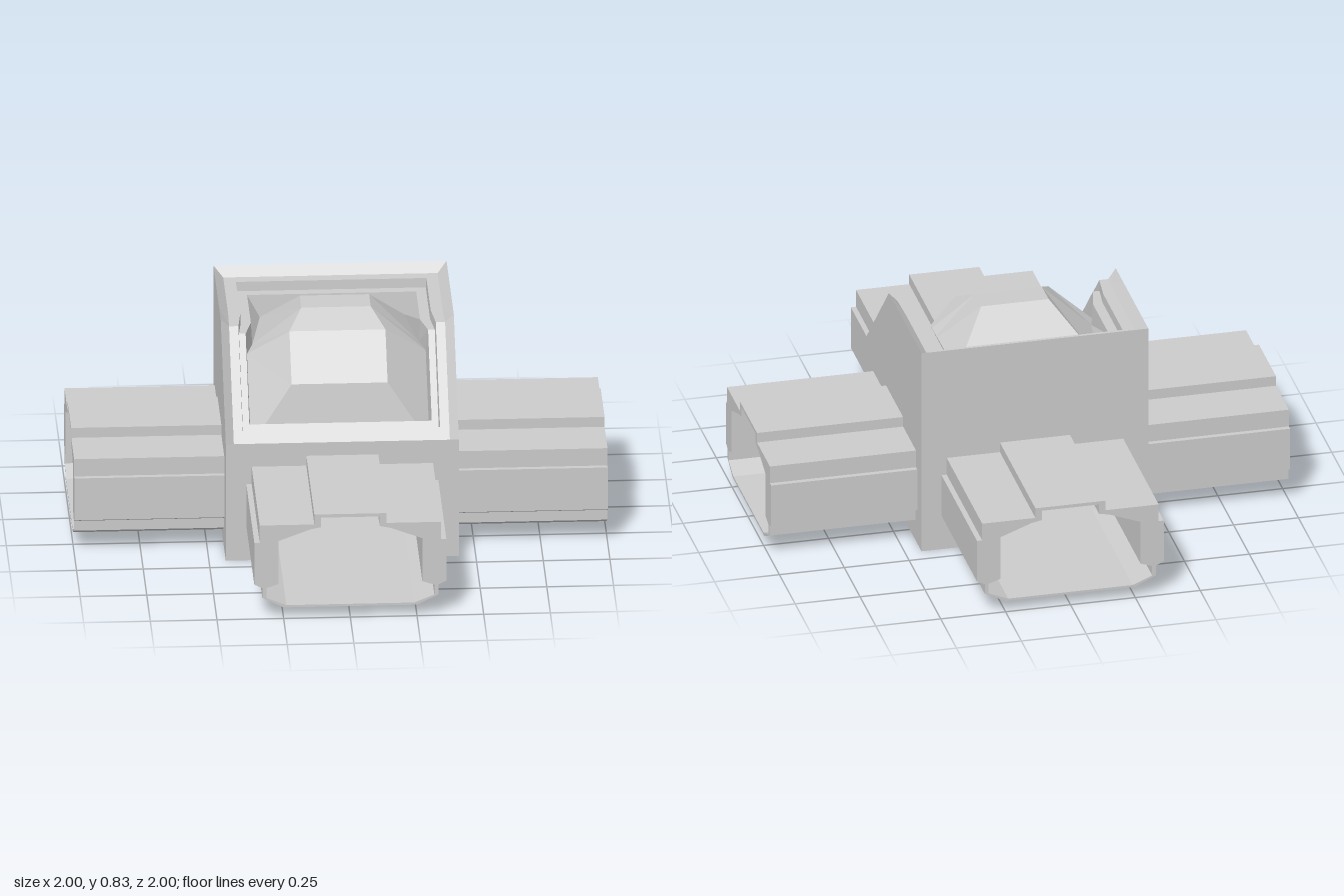
import * as THREE from 'three';

const mat = new THREE.MeshStandardMaterial({ color: 0xcccccc, flatShading: true, side: THREE.DoubleSide });
const HALF = 0.437;

// Half sections of the corridor, from the roof down to the floor
const OUTER = [[0.135, 0.42], [0.135, 0.38], [0.34, 0.38], [0.34, 0.31], [0.36, 0.31],
  [0.36, 0.14], [0.33, 0.125], [0.33, 0.085], [0.25, 0.045]];
const INNER = [[0.11, 0.407], [0.11, 0.368], [0.15, 0.36], [0.27, 0.315], [0.27, 0.14],
  [0.315, 0.125], [0.315, 0.085], [0.24, 0.054]];

// Mirror a half section into a closed outline
function mirrored(half, dx = 0) {
  const other = half.map(([x, y]) => [-x, y]).reverse();
  return [...half, ...other].map(([x, y]) => new THREE.Vector2(x + dx, y));
}

function add(group, name, geometry) {
  const mesh = new THREE.Mesh(geometry, mat);
  mesh.name = name;
  group.add(mesh);
  return mesh;
}

// Flat wall with a corridor opening
function wallGeometry(points, dx) {
  const shape = new THREE.Shape(points.map(([x, y]) => new THREE.Vector2(x, y)));
  shape.holes.push(new THREE.Path(mirrored(OUTER, dx)));
  return new THREE.ShapeGeometry(shape);
}

// Mirror one side of a ring, listed from back to front
function closeRing(half) {
  return [...half.map(([x, y, z]) => [-x, y, z]), ...half.slice().reverse()];
}

// Bent roof outline: insets on the flat part, slope sides and front edge, sunk by h
function roofRing([flat, slope, front, h]) {
  return closeRing([
    [HALF - flat, 0.83 - h, -HALF + flat],
    [HALF - flat, 0.83 - h, -0.05],
    [HALF - slope, 0.83 - h, 0.08 - 0.414 * h],
    [HALF - slope, 0.473 + front - 1.414 * h, HALF - front],
  ]);
}

// Join successive rings with quads; optionally cap the last one across its width
function loft(rings, cap) {
  const pos = [];
  const quad = (a, b, c, d) => pos.push(...a, ...b, ...c, ...a, ...c, ...d);
  for (let k = 0; k + 1 < rings.length; k++) {
    const [a, b] = [rings[k], rings[k + 1]];
    for (let i = 0; i < a.length; i++) {
      const j = (i + 1) % a.length;
      quad(a[i], a[j], b[j], b[i]);
    }
  }
  if (cap) {
    const t = rings[rings.length - 1];
    const n = t.length;
    for (let i = 0; i + 1 < n / 2; i++) quad(t[i], t[i + 1], t[n - 2 - i], t[n - 1 - i]);
  }
  const g = new THREE.BufferGeometry();
  g.setAttribute('position', new THREE.Float32BufferAttribute(pos, 3));
  g.computeVertexNormals();
  return g;
}

export function createModel() {
  const model = new THREE.Group();
  model.name = 'corridorJunction';

  // Central block: four walls and a raised floor
  const block = new THREE.Group();
  block.name = 'centralBlock';
  model.add(block);
  const rect = (h) => [[-HALF, 0], [HALF, 0], [HALF, h], [-HALF, h]];
  add(block, 'frontWall', wallGeometry(rect(0.473), 0)).position.z = HALF;
  const back = add(block, 'backWall', wallGeometry(rect(0.83), 0));
  back.rotation.y = Math.PI;
  back.position.z = -HALF;
  const side = wallGeometry([[-HALF, 0], [HALF, 0], [HALF, 0.83], [-0.08, 0.83], [-HALF, 0.473]], 0.01);
  for (const s of [1, -1]) {
    const wall = add(block, s > 0 ? 'leftWall' : 'rightWall', side);
    wall.rotation.y = Math.PI / 2;
    wall.position.x = s * HALF;
  }
  const floor = new THREE.BoxGeometry(2 * HALF - 0.004, 0.01, 2 * HALF - 0.004);
  add(block, 'floor', floor).position.y = 0.045;

  // Stepped window frame around the bent roof opening
  const steps = [[0, 0, 0, 0], [0.035, 0.032, 0.035, 0.035], [0.08, 0.067, 0.072, 0.035],
    [0.082, 0.07, 0.097, 0.072], [0.12, 0.095, 0.127, 0.072]];
  const foot = closeRing([[0.27, 0.67, -0.31], [0.312, 0.67, -0.05], [0.335, 0.66, 0.014], [0.335, 0.4, 0.287]]);
  add(model, 'roofFrame', loft([...steps.map(roofRing), foot]));

  // Faceted skylight dome rising from the recess
  const crown = closeRing([[0.13, 0.835, -0.12], [0.13, 0.833, -0.01], [0.18, 0.78, 0.09], [0.18, 0.63, 0.245]]);
  add(model, 'skylightDome', loft([foot, crown], true));

  // Four hollow corridor arms
  const section = new THREE.Shape(mirrored(OUTER));
  section.holes.push(new THREE.Path(mirrored(INNER)));
  const armGeometry = new THREE.ExtrudeGeometry(section, { depth: 0.64, bevelEnabled: false });
  armGeometry.translate(0, 0, 0.36);
  ['frontCorridor', 'leftCorridor', 'backCorridor', 'rightCorridor'].forEach((name, i) => {
    const arm = add(model, name, armGeometry);
    arm.rotation.y = i * Math.PI / 2;
    if (i % 2) arm.position.z = -0.01;
  });

  return model;
}
